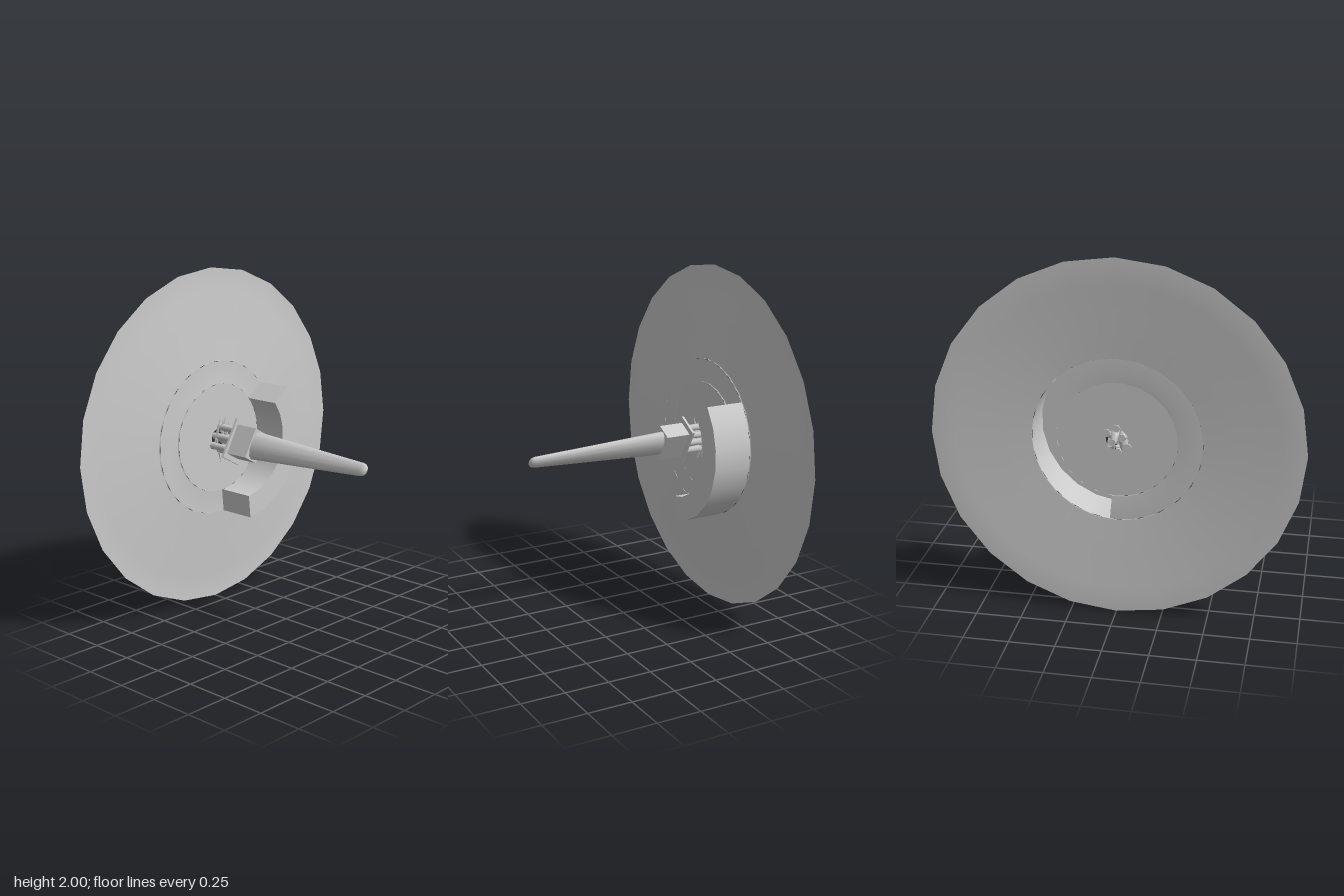
import * as THREE from 'three';

const V = (r, z) => new THREE.Vector2(r, z);
const DEG = Math.PI / 180;

export function createModel() {
  const group = new THREE.Group();
  const mat = new THREE.MeshStandardMaterial({ color: 0xcccccc, side: THREE.DoubleSide });

  const add = (name, geo, parent = group) => {
    const mesh = new THREE.Mesh(geo, mat);
    mesh.name = name;
    parent.add(mesh);
    return mesh;
  };

  // Revolve a (radius, z) profile about the z axis; angles start at straight down
  const revolve = (pts, segs = 24, start = 0, sweep = 360) =>
    new THREE.LatheGeometry(pts, segs, start * DEG, sweep * DEG).rotateX(Math.PI / 2);

  // Everything turns about the axis at y = 1
  const body = new THREE.Group();
  body.name = 'body';
  body.position.y = 1;
  group.add(body);

  // Stepped outer rings, each a little further forward
  const radii = [1, 0.865, 0.73, 0.592, 0.46];
  const terrace = [];
  for (let i = 0; i < 4; i++) {
    const z = -0.588 + i * 0.01;
    terrace.push(V(radii[i], z), V(radii[i + 1], z));
  }
  terrace.push(V(0.46, -0.548));
  add('steppedRings', revolve(terrace), body);

  // Inner ring: low for most of the turn, raised as a hollow block over one sector
  const s0 = 5, s1 = 128, low = -0.548, high = -0.323, mid = -0.537;
  add('innerRing', revolve([V(0.46, low), V(0.325, low), V(0.325, mid)], 16, s1, 360 - s1 + s0), body);
  for (const [name, pts] of [
    ['raisedOuterWall', [V(0.46, low), V(0.46, high)]],
    ['raisedTop', [V(0.46, high), V(0.325, high)]],
    ['raisedInnerWall', [V(0.325, high), V(0.325, mid)]],
  ]) add(name, revolve(pts, 8, s0, s1 - s0), body);
  for (const a of [s0, s1]) {
    const wall = add('raisedEndWall', new THREE.PlaneGeometry(0.135, high - low).rotateX(Math.PI / 2), body);
    const t = (a - 90) * DEG;
    wall.position.set(0.3925 * Math.cos(t), 0.3925 * Math.sin(t), (high + low) / 2);
    wall.rotation.z = t;
  }

  // Centre disc with a small opening
  add('centreDisc', revolve([V(0.325, mid), V(0.18, mid), V(0.06, mid)]), body);

  // Spike assembly, tilted about its long axis
  const spike = new THREE.Group();
  spike.name = 'spike';
  spike.rotation.z = -30 * DEG;
  body.add(spike);

  const blade = revolve([
    V(0.083, -0.24), V(0.038, 0.55), V(0.034, 0.568), V(0.022, 0.581), V(0, 0.587),
  ], 12);
  blade.scale(0.53, 1, 1);
  add('blade', blade, spike);

  add('collar', new THREE.BoxGeometry(0.1, 0.18, 0.15), spike).position.z = -0.312;
  add('guardPlate', new THREE.BoxGeometry(0.14, 0.24, 0.014), spike).position.z = -0.39;

  // Grip rods between the plate and the disc
  for (const x of [-0.03, 0.03]) for (const y of [-0.06, 0, 0.06]) {
    const rod = add('gripRod', new THREE.CylinderGeometry(0.016, 0.022, 0.16, 6).rotateX(Math.PI / 2), spike);
    rod.position.set(x, y, -0.467);
  }

  // Ragged splinters around the opening
  for (let i = 0; i < 12; i++) {
    const a = i * 30 * DEG;
    const shard = add('splinter', new THREE.ConeGeometry(0.014, 0.09 + 0.03 * (i % 3), 4), body);
    shard.position.set(0.045 * Math.cos(a), 0.085 * Math.sin(a), -0.52 + 0.012 * (i % 2));
    shard.rotation.z = Math.sin(a) < -0.01 ? Math.PI : 0;
    shard.rotation.x = Math.sin(a) < -0.01 ? -0.25 : 0.25;
  }

  return group;
}
